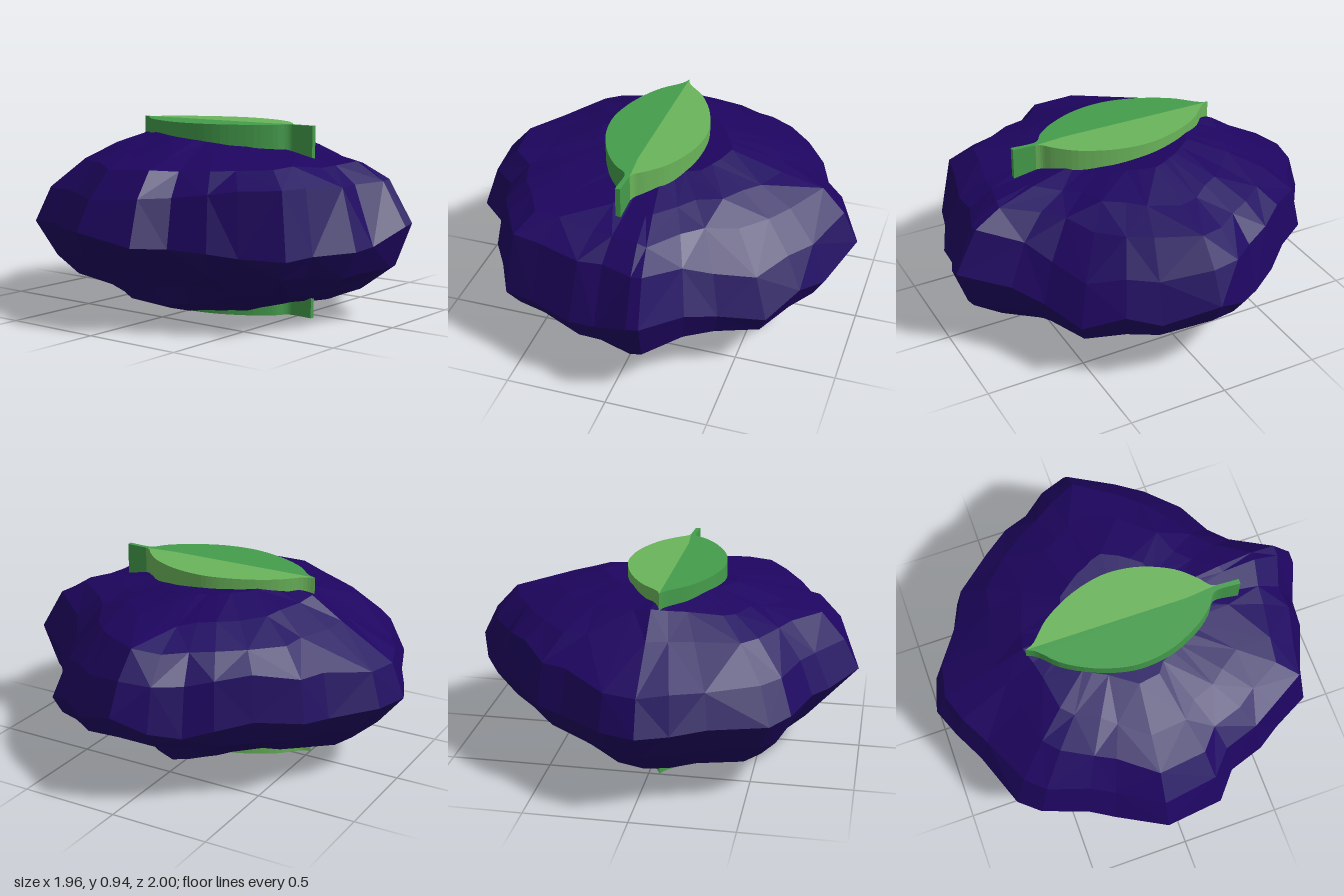
import * as THREE from 'three';

// Widest contour of the stone as [x, z, height], clockwise from the back
const OUTLINE = [
  [-.03, -1, .42], [.14, -.95, .42], [.36, -.79, .42], [.49, -.73, .43], [.63, -.54, .45], [.75, -.4, .42],
  [.82, -.27, .38], [.91, -.14, .41], [.975, .02, .48], [.87, .27, .39], [.78, .41, .42], [.66, .58, .34],
  [.45, .67, .38], [.32, .78, .43], [.17, .995, .48], [.11, .995, .47], [-.07, .93, .39], [-.2, .92, .38],
  [-.42, .83, .38], [-.57, .79, .37], [-.67, .6, .38], [-.75, .48, .4], [-.81, .3, .41], [-.94, .19, .42],
  [-.98, -.1, .47], [-.85, -.33, .45], [-.78, -.45, .46], [-.7, -.66, .44], [-.61, -.76, .42], [-.34, -.86, .43],
  [-.18, -.94, .42],
];

// Profiles from top to bottom as [fraction of the contour, height], every 45 degrees
const PROFILES = [
  /* left */ [[.33, .88], [.6, .8], [.8, .75], [.93, .63], [1, .48], [.93, .35], [.72, .285], [.55, .18], [.47, .05]],
  /* front left */ [[.33, .85], [.55, .8], [.72, .73], [.9, .55], [1, .39], [.94, .26], [.79, .16], [.6, .09], [.45, .04]],
  /* front */ [[.3, .84], [.55, .8], [.74, .77], [.87, .71], [1, .49], [.92, .28], [.76, .15], [.58, .08], [.4, .04]],
  /* front right */ [[.35, .84], [.62, .8], [.82, .77], [.95, .69], [1, .39], [.92, .29], [.76, .18], [.62, .1], [.4, .03]],
  /* right */ [[.38, .86], [.62, .79], [.81, .745], [.91, .62], [1, .47], [.84, .31], [.76, .23], [.68, .11], [.4, .02]],
  /* back right */ [[.35, .875], [.57, .825], [.74, .75], [.92, .61], [1, .44], [.89, .27], [.79, .17], [.6, .1], [.35, .04]],
  /* back */ [[.33, .895], [.5, .86], [.65, .76], [.94, .59], [1, .42], [.88, .27], [.75, .15], [.5, .1], [.3, .06]],
  /* back left */ [[.35, .89], [.6, .83], [.82, .75], [.95, .66], [1, .43], [.91, .31], [.74, .22], [.54, .14], [.38, .055]],
];
const RINGS = PROFILES[0].length;
const WIDEST = 4;

function seeded(seed) {
  return () => {
    seed = (seed * 16807) % 2147483647;
    return seed / 2147483647 - 0.5;
  };
}

// Faceted stone: rings that blend the neighbouring profiles by direction
function createStone() {
  const rand = seeded(71);
  const n = OUTLINE.length;
  const positions = [];
  const index = [];

  for (let k = 0; k < RINGS; k++) {
    const smooth = k === 0 || k === WIDEST || k === RINGS - 1;
    const rough = smooth ? 0 : 0.02;
    // rings beside the contour partly follow its rise and fall
    const follow = [1, 0.35, 0.1][Math.abs(k - WIDEST)] ?? 0;
    for (const [x, z, height] of OUTLINE) {
      const turn = (Math.atan2(z, x) / (Math.PI / 4) + 8) % 8;
      const sector = Math.floor(turn);
      const a = PROFILES[sector];
      const b = PROFILES[(sector + 1) % 8];
      const blend = (ring, c) => THREE.MathUtils.lerp(a[ring][c], b[ring][c], turn - sector);
      const s = blend(k, 0) + rand() * rough;
      const y = blend(k, 1) + (height - blend(WIDEST, 1)) * follow + rand() * rough;
      positions.push(x * s, y, z * s);
    }
  }
  const top = n * RINGS;
  positions.push(0, 0.865, 0, 0, 0.04, 0);

  for (let i = 0; i < n; i++) {
    const j = (i + 1) % n;
    index.push(top, j, i);
    for (let k = 0; k < RINGS - 1; k++) {
      const u = k * n;
      const l = u + n;
      if ((i + k) % 2) index.push(u + i, u + j, l + i, u + j, l + j, l + i);
      else index.push(u + i, u + j, l + j, u + i, l + j, l + i);
    }
    index.push(top + 1, (RINGS - 1) * n + i, (RINGS - 1) * n + j);
  }

  const indexed = new THREE.BufferGeometry();
  indexed.setAttribute('position', new THREE.Float32BufferAttribute(positions, 3));
  indexed.setIndex(index);
  const geometry = indexed.toNonIndexed();
  geometry.computeVertexNormals();
  const mesh = new THREE.Mesh(geometry, new THREE.MeshStandardMaterial({ color: 0x1e0560, flatShading: true }));
  mesh.name = 'stone';
  return mesh;
}

// Half leaf: curved edge plus straight inner edge, extruded upright through the stone
function createLeafHalf(name, color, edge, inner) {
  const v = ([x, z]) => new THREE.Vector2(x, -z);
  const curve = new THREE.SplineCurve(edge.map(v)).getPoints(40);
  const shape = new THREE.Shape([...curve, ...inner.map(v)]);
  const geometry = new THREE.ExtrudeGeometry(shape, { depth: 0.935, bevelEnabled: false });
  geometry.rotateX(-Math.PI / 2).translate(0, 0.003, 0);
  const mesh = new THREE.Mesh(geometry, new THREE.MeshStandardMaterial({ color }));
  mesh.name = name;
  return mesh;
}

export function createModel() {
  const model = new THREE.Group();
  model.name = 'leafStone';
  model.add(createStone());

  const leaf = new THREE.Group();
  leaf.name = 'leaf';
  leaf.add(
    createLeafHalf('leafHalfLeft', 0x6ab45a,
      [[-.053, -.5], [-.03, -.45], [.06, -.36], [.135, -.23], [.18, -.09], [.19, .03], [.165, .17], [.1, .31], [.02, .4], [-.03, .44], [-.045, .47]],
      [[-.06, .31]]),
    // dark half carries the stem
    createLeafHalf('leafHalfRightWithStem', 0x449c4b,
      [[-.053, -.5], [-.08, -.45], [-.17, -.36], [-.245, -.23], [-.29, -.09], [-.3, .03], [-.275, .17], [-.21, .31], [-.14, .4], [-.085, .44], [-.07, .48], [-.077, .585]],
      [[-.052, .585], [-.045, .47], [-.06, .31]]),
  );
  model.add(leaf);
  return model;
}
